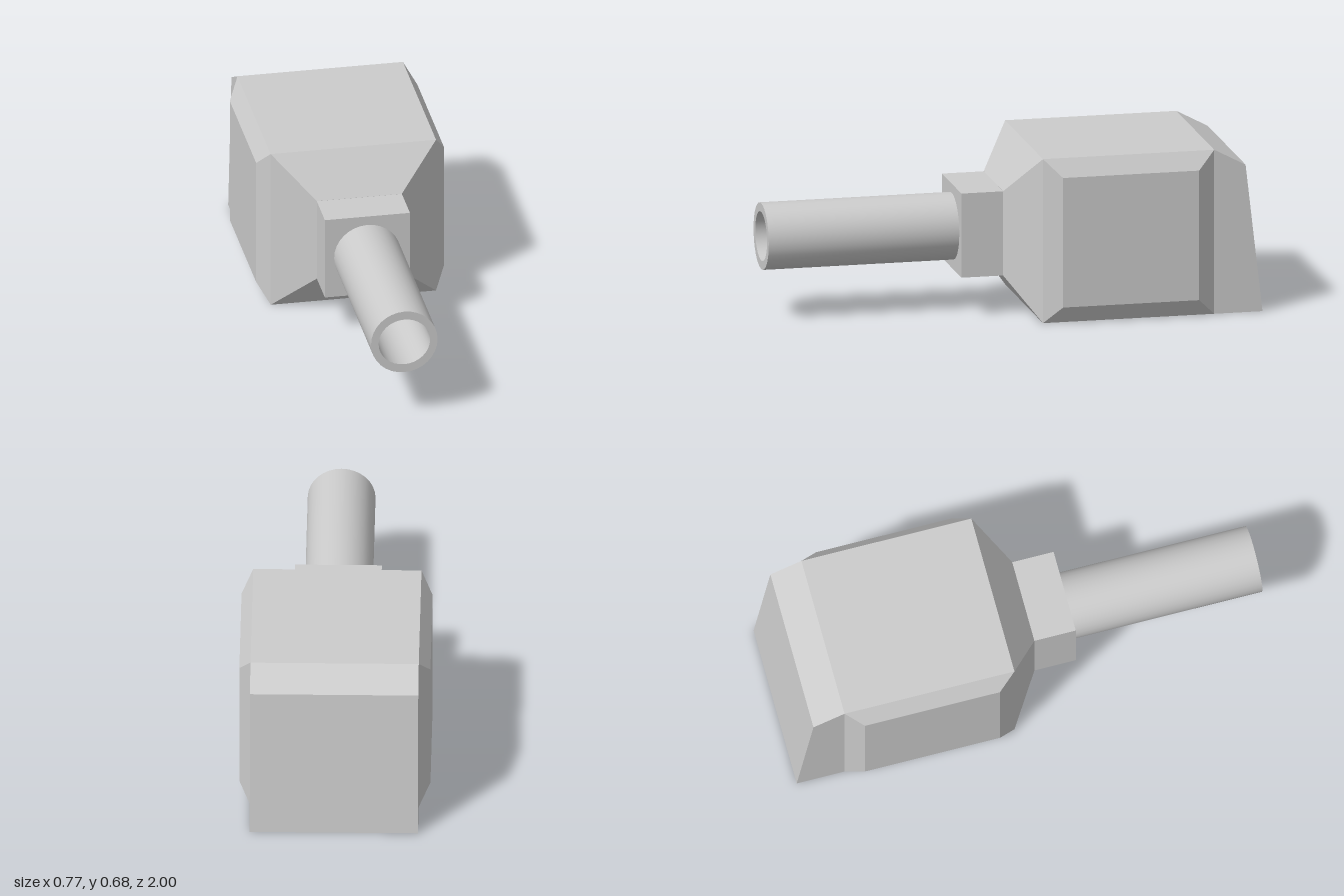
import * as THREE from 'three';
import { toCreasedNormals } from 'three/addons/utils/BufferGeometryUtils.js';

const MID_Y = 0.341;
const HALF_W = 0.34;

// Box whose face on the positive side of `axis` is shrunk by the given scales.
function taperedBox(size, axis, scale) {
  const geo = new THREE.BoxGeometry(...size);
  const pos = geo.attributes.position;
  for (let i = 0; i < pos.count; i++) {
    if (pos.getComponent(i, axis) < 0) continue;
    for (let c = 0; c < 3; c++) pos.setComponent(i, c, pos.getComponent(i, c) * scale[c]);
  }
  geo.computeVertexNormals();
  return geo;
}

export function createModel() {
  const group = new THREE.Group();
  const material = new THREE.MeshStandardMaterial({ color: 0xcccccc });
  const add = (name, geometry, x = 0, y = 0, z = 0) => {
    const mesh = new THREE.Mesh(geometry, material);
    mesh.name = name;
    mesh.position.set(x, y, z);
    group.add(mesh);
    return mesh;
  };

  // Main block: side profile (-z, y) extruded across x, with sloping back
  const profile = [[0.09, 0], [1, 0], [0.93, 0.613], [0.8, 0.682], [0.09, 0.682]];
  const shape = new THREE.Shape(profile.map(([x, y]) => new THREE.Vector2(x, y)));
  const block = new THREE.ExtrudeGeometry(shape, { depth: 2 * HALF_W, bevelEnabled: false });
  block.translate(0, 0, -HALF_W).rotateY(Math.PI / 2);
  add('body', block);

  // Bevelled side panels
  for (const side of [1, -1]) {
    const geo = taperedBox([0.046, 0.682, 0.71], 0, [1, 0.79, 0.795]);
    const panel = add(side > 0 ? 'leftPanel' : 'rightPanel', geo, side * (HALF_W + 0.023), MID_Y, -0.445);
    if (side < 0) panel.rotation.y = Math.PI;
  }

  // Taper from the block to the square neck
  const taper = 0.175 / HALF_W;
  add('frontTaper', taperedBox([2 * HALF_W, 0.682, 0.127], 2, [taper, taper, 1]), 0, MID_Y, -0.0265);
  add('neck', new THREE.BoxGeometry(0.35, 0.35, 0.173), 0, MID_Y, 0.1235);

  // Hollow pipe: outer wall, rim, slightly narrowing bore and its floor
  const wall = [[0.137, 0], [0.137, 0.79], [0.101, 0.79], [0.098, 0.005], [0, 0.005]];
  const pipe = new THREE.LatheGeometry(wall.map(([r, y]) => new THREE.Vector2(r, y)), 32);
  const pos = pipe.attributes.position;
  for (let i = 0; i < pos.count; i++) {
    // the bore is a little wider than it is high
    if (Math.hypot(pos.getX(i), pos.getZ(i)) < 0.11) pos.setX(i, pos.getX(i) * 1.05);
  }
  pipe.rotateX(Math.PI / 2);
  add('pipe', toCreasedNormals(pipe, 0.5), 0, MID_Y, 0.21);

  return group;
}
